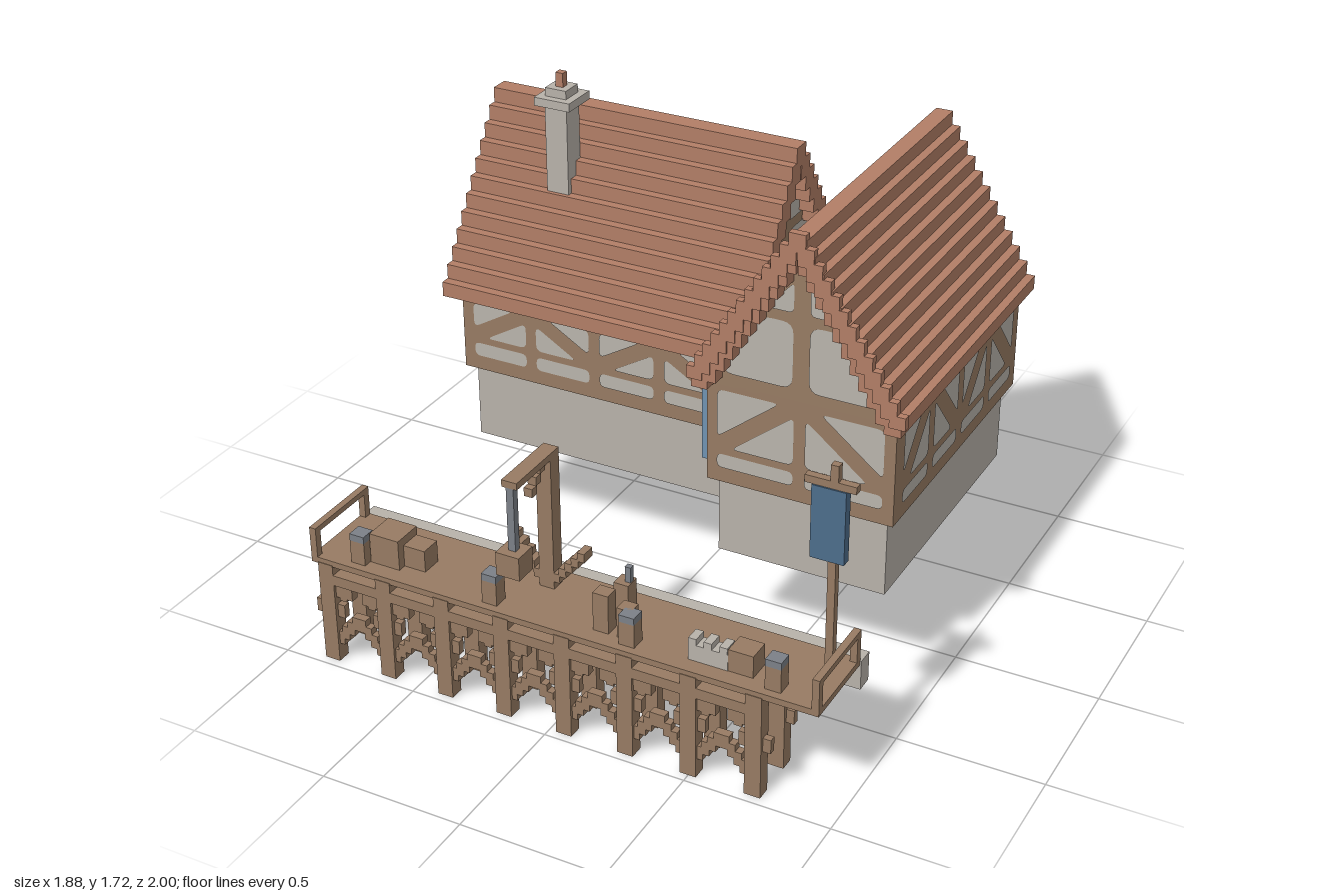
import * as THREE from 'three';

const mat = (name, color) => Object.assign(new THREE.MeshStandardMaterial({ color }), { name });

export function createModel() {
  const timber = mat('timber', 0x977b63), tile = mat('roof tile', 0xb27e66), stone = mat('stone', 0xb8b2aa),
    plaster = mat('plaster', 0xb9b4ac), blue = mat('blue paint', 0x7093b2), cloth = mat('banner cloth', 0x4d6d8b),
    iron = mat('iron', 0x7c8087);
  const model = new THREE.Group();
  model.name = 'harbourHouse';

  const group = (parent, name, x = 0, y = 0, z = 0, ry = 0) => {
    const g = new THREE.Group();
    g.name = name; g.position.set(x, y, z); g.rotation.y = ry;
    parent.add(g);
    return g;
  };
  // box given by its limits on each axis
  const box = (parent, name, m, x0, x1, y0, y1, z0, z1) => {
    const b = new THREE.Mesh(new THREE.BoxGeometry(x1 - x0, y1 - y0, z1 - z0), m);
    b.name = name; b.position.set((x0 + x1) / 2, (y0 + y1) / 2, (z0 + z1) / 2);
    parent.add(b);
    return b;
  };
  // flat infill polygon with softened corners
  const infill = (parent, pts, r = 0.025, m = plaster) => {
    const P = pts.map(p => new THREE.Vector2(...p));
    if (THREE.ShapeUtils.area(P) < 0) P.reverse();
    const s = new THREE.Shape();
    P.forEach((p, i) => {
      const cut = q => p.clone().lerp(q, Math.min(0.45, r / p.distanceTo(q)));
      const a = cut(P[(i + P.length - 1) % P.length]), b = cut(P[(i + 1) % P.length]);
      i ? s.lineTo(a.x, a.y) : s.moveTo(a.x, a.y);
      s.quadraticCurveTo(p.x, p.y, b.x, b.y);
    });
    s.closePath();
    const mesh = new THREE.Mesh(new THREE.ShapeGeometry(s, 4), m);
    mesh.name = 'plasterInfill'; mesh.position.z = 0.004;
    parent.add(mesh);
  };
  // stepped tile roof, ridge along local z
  const roof = (parent, name, half, z0, z1, y0, y1, n) => {
    const g = group(parent, name), w = half / n, h = (y1 - y0) / n;
    for (let i = 0; i < n; i++) for (const s of [-1, 1]) {
      const o = s * half * (1 - i / n), q = o - s * Math.min(1.9 * w, Math.abs(o));
      box(g, 'tileRow', tile, Math.min(o, q), Math.max(o, q), y0 + i * h - (i ? h * 0.4 : 0), y0 + (i + 1) * h, z0, z1);
    }
    return g;
  };
  // timbered bays: lower bar plus a panel split by a diagonal brace
  const bays = (face, width, n, yb, yt, skip = []) => {
    const w = width / n;
    for (let i = 0; i < n; i++) {
      if (skip.includes(i)) continue;
      const c = -width / 2 + (i + 0.5) * w, s = i % 2 ? -1 : 1, e = w / 2 - 0.02, lo = yb + 0.13, hi = yt - 0.015;
      const at = (u, y) => [c + s * u, y];
      infill(face, [at(-e, yb + 0.055), at(e, yb + 0.055), at(e, yb + 0.105), at(-e, yb + 0.105)], 0.02);
      infill(face, [at(-e, lo + 0.035), at(e - 0.05, hi), at(-e, hi)]);
      infill(face, [at(-e + 0.05, lo), at(e, lo), at(e, hi - 0.035)]);
    }
  };
  const gable = (face, half, y0, y1) => {
    const edge = y => (half - 0.025) * (1 - (y - y0) / (y1 - y0));
    const mid = y0 + (y1 - y0) * 0.52, top = y1 - 0.12;
    for (const s of [-1, 1]) {
      infill(face, [[s * 0.028, y0 + 0.05], [s * edge(y0 + 0.05), y0 + 0.05], [s * edge(mid), mid], [s * 0.028, mid]], 0.04);
      infill(face, [[s * 0.028, mid + 0.035], [s * edge(mid + 0.035), mid + 0.035], [s * 0.028, top]], 0.02);
    }
  };
  const shutteredWindow = (face, u, y0, y1) => {
    const g = group(face, 'shutteredWindow', u);
    box(g, 'windowFrame', timber, -0.085, 0.085, y0 - 0.02, y1, -0.01, 0.012);
    box(g, 'windowPane', iron, -0.06, 0.06, y0, y1 - 0.01, 0.01, 0.016);
    box(g, 'mullion', timber, -0.006, 0.006, y0, y1, 0.014, 0.02);
    for (const s of [-1, 1]) box(g, 'shutter', blue, s * 0.09 - 0.024, s * 0.09 + 0.024, y0, y1, 0, 0.03);
  };

  // one house wing: open stone base, timbered storey, gables and roof
  const wing = (name, x, z, ry, half, len, eave, top, roofHalf, roofLen, roofY) => {
    const g = group(model, name, x, 0, z, ry), L = len / 2, yb = 0.645, b = half - 0.03, l = L - 0.03;
    for (const s of [-1, 1]) {
      box(g, 'stoneBase', stone, s * b - (s > 0 ? 0.02 : 0), s * b + (s < 0 ? 0.02 : 0), 0.365, yb, -l, l);
      box(g, 'stoneBase', stone, -b + 0.02, b - 0.02, 0.365, yb, s * l - (s > 0 ? 0.02 : 0), s * l + (s < 0 ? 0.02 : 0));
    }
    box(g, 'baseCeiling', stone, -b, b, yb - 0.01, yb - 0.001, -l, l);
    box(g, 'upperStorey', timber, -half, half, yb, eave + 0.01, -L, L);
    const tri = new THREE.Shape([[-half, eave], [half, eave], [0, top - 0.05]].map(p => new THREE.Vector2(...p)));
    const attic = new THREE.Mesh(new THREE.ExtrudeGeometry(tri, { depth: len, bevelEnabled: false }), timber);
    attic.name = 'gableWall'; attic.position.z = -L;
    g.add(attic);
    roof(g, 'roof', roofHalf, -roofLen / 2, roofLen / 2, roofY, top, 12);
    box(g, 'ridge', tile, -0.03, 0.03, top - 0.06, top, -roofLen / 2, roofLen / 2);
    const face = (label, ry2, d) => {
      const pivot = group(g, label, 0, 0, 0, ry2);
      return group(pivot, label + 'Face', 0, 0, d);
    };
    const f = { front: face('front', 0, L), left: face('left', Math.PI / 2, half), back: face('back', Math.PI, L), right: face('right', -Math.PI / 2, half) };
    for (const e of [f.front, f.back]) gable(e, half, eave, top - 0.05);
    return { g, f };
  };

  // long wing with its ridge across the front
  const A = wing('longWing', -0.36, -0.365, -Math.PI / 2, 0.38, 1.05, 0.92, 1.56, 0.415, 1.165, 0.92);
  bays(A.f.left, 1.0, 4, 0.645, 0.92);
  bays(A.f.right, 1.0, 4, 0.645, 0.92, [0, 3]);
  bays(A.f.front, 0.72, 4, 0.645, 0.92, [1, 2]);
  shutteredWindow(A.f.front, 0, 0.7, 0.93);
  for (const u of [-0.34, 0.32]) shutteredWindow(A.f.right, u, 0.7, 0.95);
  box(A.f.right, 'flowerBox', timber, 0.22, 0.42, 0.66, 0.715, 0, 0.05);
  box(A.f.right, 'door', timber, -0.05, 0.19, 0.365, 0.61, -0.05, -0.022);

  // gabled wing with its ridge running front to back
  const B = wing('gabledWing', 0.5475, -0.2225, 0, 0.3275, 1.055, 1.0, 1.59, 0.36, 1.155, 1.0);
  bays(B.f.front, 0.62, 2, 0.645, 1.0);
  bays(B.f.left, 0.98, 4, 0.645, 1.0);
  bays(B.f.back, 0.62, 2, 0.645, 1.0);
  shutteredWindow(B.f.right, 0.39, 0.7, 0.99);
  roof(B.g, 'gableTrim', 0.375, 0.555, 0.582, 1.03, 1.61, 13);
  box(B.f.back, 'doorFrame', timber, -0.09, 0.09, 0.69, 0.95, 0, 0.015);
  box(B.f.back, 'loftDoor', timber, -0.06, 0.06, 0.69, 0.92, 0.01, 0.025);

  // dormer on the rear slope
  const dormer = group(model, 'dormer', -0.28, 0, -0.62);
  box(dormer, 'dormerBody', timber, -0.075, 0.075, 1.0, 1.19, -0.09, 0.12);
  box(dormer, 'dormerGable', timber, -0.045, 0.045, 1.19, 1.24, -0.09, 0.12);
  box(dormer, 'dormerPane', iron, -0.045, 0.045, 1.06, 1.17, -0.098, -0.09);
  roof(dormer, 'dormerRoof', 0.11, -0.11, 0.09, 1.12, 1.3, 4);

  // chimney
  const chimney = group(model, 'chimney', -0.6, 0, -0.215);
  [[0.042, 1.25, 1.61, stone], [0.068, 1.61, 1.64, stone], [0.04, 1.64, 1.67, stone], [0.014, 1.67, 1.72, tile]]
    .forEach(([r, y0, y1, m]) => box(chimney, 'chimneyTier', m, -r, r, y0, y1, -r, r));

  // quay wall and dock deck
  const dock = group(model, 'dock');
  box(dock, 'quayWall', stone, -0.89, 0.94, 0.28, 0.385, 0.61, 0.67);
  box(dock, 'deck', timber, -0.89, 0.935, 0.37, 0.392, 0.665, 0.968);
  box(dock, 'frontBeam', timber, -0.865, 0.745, 0.3, 0.338, 0.92, 0.97);
  for (let i = 0; i < 8; i++) {
    const x = -0.837 + i * 0.2225;
    for (const z of [0.945, 0.78]) {
      box(dock, 'dockPost', timber, x - 0.028, x + 0.028, 0, 0.375, z - 0.025, z + 0.025);
      box(dock, 'postCollar', timber, x - 0.055, x + 0.055, 0.17, 0.22, z - 0.012, z + 0.012);
    }
    if (i === 7) continue;
    // stepped braces between neighbouring posts
    for (const s of [-1, 1]) for (let k = 0; k < 4; k++) {
      const bx = x + 0.111 + s * (0.078 - k * 0.022);
      box(dock, 'lowerBrace', timber, bx - 0.014, bx + 0.014, 0.065 + k * 0.024, 0.115 + k * 0.024, 0.93, 0.96);
      if (k < 3) box(dock, 'upperBrace', timber, bx - 0.014, bx + 0.014, 0.25 - k * 0.01 + (k > 1 ? 0.02 : 0), 0.305, 0.93, 0.96);
    }
  }
  for (const x of [-0.878, 0.923]) {
    for (const z of [0.68, 0.955]) box(dock, 'railPost', timber, x - 0.012, x + 0.012, 0.39, 0.49, z - 0.013, z + 0.013);
    box(dock, 'handRail', timber, x - 0.012, x + 0.012, 0.48, 0.5, 0.667, 0.968);
  }

  // bollards and cargo on the deck
  for (const x of [-0.725, -0.225, 0.27, 0.77]) {
    box(dock, 'bollard', timber, x - 0.027, x + 0.027, 0.39, 0.475, 0.887, 0.94);
    box(dock, 'bollardCap', iron, x - 0.027, x + 0.027, 0.475, 0.5, 0.887, 0.94);
  }
  [[-0.695, -0.585, 0.5, 0.8, 0.91], [-0.585, -0.505, 0.47, 0.805, 0.88], [0.135, 0.19, 0.53, 0.86, 0.91],
    [0.22, 0.27, 0.5, 0.86, 0.91], [0.165, 0.217, 0.53, 0.775, 0.83], [0.605, 0.69, 0.47, 0.83, 0.91]]
    .forEach(([x0, x1, y, z0, z1]) => box(dock, 'cargoCrate', timber, x0, x1, 0.39, y, z0, z1));
  box(dock, 'ironPin', iron, 0.195, 0.215, 0.53, 0.585, 0.79, 0.81);
  box(dock, 'stoneTrough', stone, 0.47, 0.605, 0.39, 0.45, 0.86, 0.912);
  for (let i = 0; i < 3; i++) box(dock, 'troughEdge', stone, 0.47 + i * 0.053, 0.497 + i * 0.053, 0.45, 0.472, 0.86, 0.912);

  // loading crane with stepped foot braces
  const crane = group(model, 'crane', -0.113);
  box(crane, 'cranePost', timber, -0.027, 0.027, 0.39, 0.89, 0.72, 0.772);
  box(crane, 'craneArm', timber, -0.027, 0.027, 0.868, 0.892, 0.72, 0.972);
  box(crane, 'chain', iron, -0.013, 0.013, 0.64, 0.87, 0.945, 0.97);
  box(crane, 'hangingCrate', timber, -0.042, 0.042, 0.56, 0.642, 0.918, 1.0);
  for (let k = 0; k < 3; k++) box(crane, 'armBrace', timber, -0.015, 0.015, 0.78 + k * 0.03, 0.81 + k * 0.03, 0.835 - k * 0.025, 0.865 - k * 0.025);
  for (const s of [-1, 1]) for (let k = 0; k < 5; k++) {
    const x = s * (0.035 + k * 0.023);
    box(crane, 'footBrace', timber, x - 0.013, x + 0.013, 0.42 + k * 0.026, 0.452 + k * 0.026, 0.72, 0.772);
  }

  // banner pole
  const pole = group(model, 'bannerPole');
  box(pole, 'pole', timber, 0.858, 0.884, 0.39, 1.11, 0.737, 0.763);
  box(pole, 'crossbar', timber, 0.775, 0.942, 1.03, 1.055, 0.737, 0.763);
  box(pole, 'banner', cloth, 0.8, 0.912, 0.78, 1.03, 0.735, 0.768);

  // rear yard: hoist, crates, trough and table
  const yard = group(model, 'rearYard');
  box(yard, 'hoistBeam', timber, 0.555, 0.578, 1.14, 1.165, -0.972, -0.75);
  box(yard, 'hoistRope', stone, 0.555, 0.578, 0.84, 1.14, -0.97, -0.945);
  box(yard, 'hoistHook', timber, 0.552, 0.581, 0.808, 0.84, -0.972, -0.943);
  [[-0.75, -0.7, 0.46, -0.89, -0.84], [-0.64, -0.59, 0.48, -0.89, -0.84], [-0.195, -0.09, 0.49, -0.95, -0.84],
    [-0.17, -0.09, 0.56, -0.94, -0.86]]
    .forEach(([x0, x1, y, z0, z1]) => box(yard, 'yardCrate', timber, x0, x1, 0.365, y, z0, z1));
  for (const x of [-0.128, 0.205]) box(yard, 'ironPost', iron, x - 0.013, x + 0.013, 0.365, 0.585, -0.975, -0.95);
  box(yard, 'yardTrough', stone, 0.36, 0.52, 0.365, 0.415, -0.89, -0.84);
  for (let i = 0; i < 3; i++) box(yard, 'troughEdge', stone, 0.36 + i * 0.066, 0.388 + i * 0.066, 0.415, 0.435, -0.89, -0.84);
  box(yard, 'cartBed', stone, 0.585, 0.69, 0.4, 0.43, -0.95, -0.905);
  for (const z of [-0.96, -0.9]) box(yard, 'cartRail', timber, 0.575, 0.745, 0.39, 0.415, z - 0.012, z + 0.012);
  box(yard, 'cartWheel', timber, 0.61, 0.665, 0.365, 0.41, -1.0, -0.86);
  return model;
}
